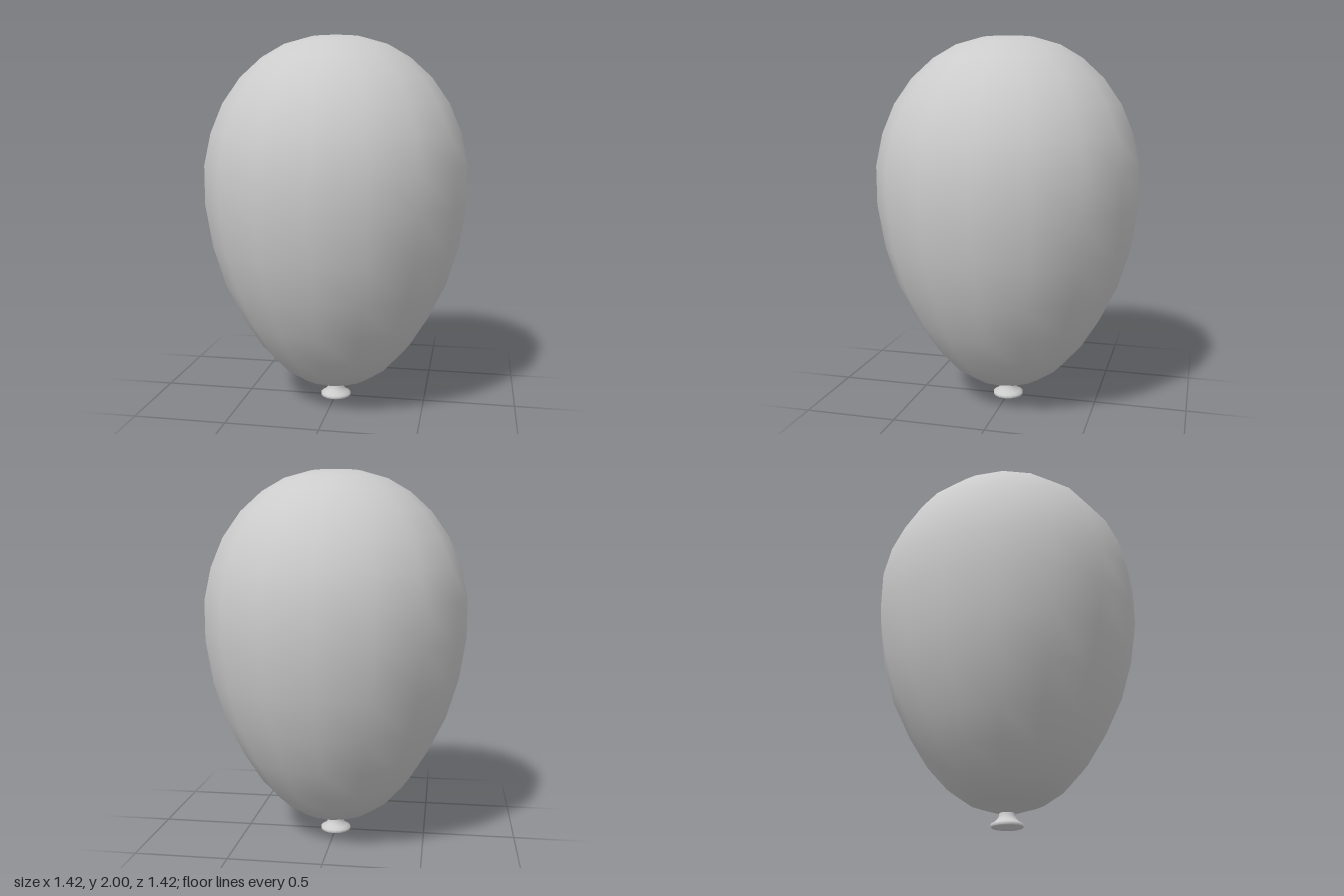
import * as THREE from 'three';

// Revolve a profile of [radius, height] pairs, listed from bottom to top
function revolve(name, profile, sides) {
  const points = profile.map(([r, y]) => new THREE.Vector2(r, y));
  const material = new THREE.MeshStandardMaterial({ color: 0xcccccc, side: THREE.DoubleSide });
  const mesh = new THREE.Mesh(new THREE.LatheGeometry(points, sides), material);
  mesh.name = name;
  return mesh;
}

export function createModel() {
  const model = new THREE.Group();
  model.name = 'balloon';

  // Inflated body: egg shape, sixteen sided with smooth shading
  model.add(revolve('balloonBody', [
    [0.03, 0.068], [0.2, 0.125], [0.31, 0.2], [0.415, 0.315], [0.515, 0.475],
    [0.61, 0.67], [0.675, 0.885], [0.712, 1.115], [0.712, 1.325], [0.675, 1.495],
    [0.61, 1.65], [0.515, 1.785], [0.4, 1.89], [0.28, 1.96], [0.14, 2], [0, 2],
  ], 16));

  // Flared neck with a rolled lip, hollow underneath
  model.add(revolve('neck', [
    [0, 0.04], [0.03, 0.035], [0.06, 0.012], [0.078, 0], [0.084, 0.003],
    [0.084, 0.017], [0.066, 0.026], [0.05, 0.042], [0.042, 0.058], [0.04, 0.075],
  ], 16));

  return model;
}
